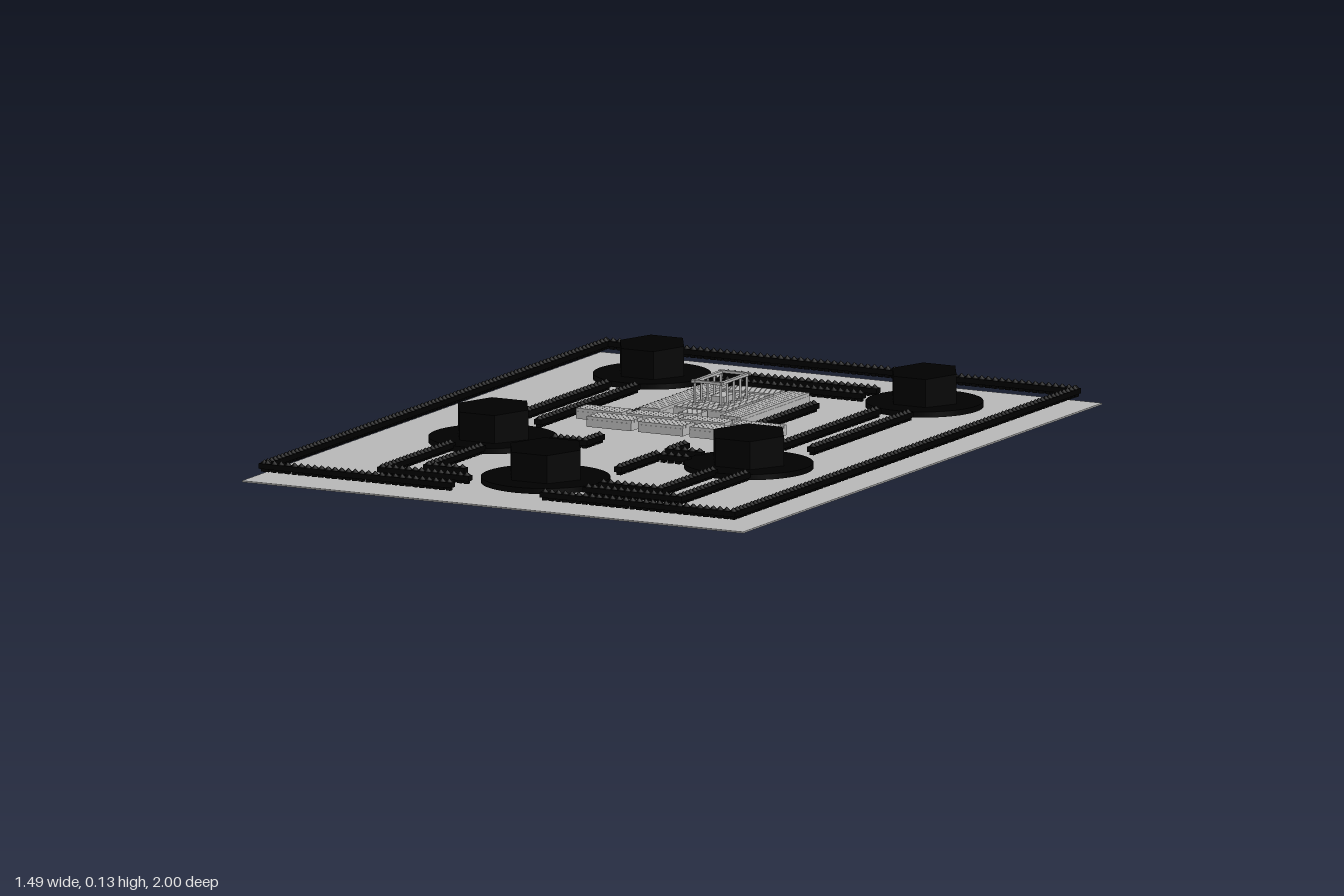
import * as THREE from 'three';
import { mergeGeometries } from 'three/addons/utils/BufferGeometryUtils.js';

export function createModel() {
  const model = new THREE.Group();
  const stone = new THREE.MeshStandardMaterial({ color: 0xb8b8b8 });
  stone.name = 'grey stone';
  const black = new THREE.MeshStandardMaterial({ color: 0x000000 });
  black.name = 'black';

  const add = (name, geometry, material) => {
    const mesh = new THREE.Mesh(geometry, material);
    mesh.name = name;
    model.add(mesh);
    return mesh;
  };
  // Box from its limits on each axis
  const span = (x0, x1, y0, y1, z0, z1) =>
    new THREE.BoxGeometry(x1 - x0, y1 - y0, z1 - z0)
      .translate((x0 + x1) / 2, (y0 + y1) / 2, (z0 + z1) / 2);

  // Ground plate
  add('groundPlate', span(-0.745, 0.745, 0, 0.004, -1, 1), stone);

  // Fence run: a rail carrying pointed pickets
  const fence = (name, x0, z0, x1, z1, base) => {
    const length = Math.hypot(x1 - x0, z1 - z0), w = 0.011;
    const parts = [span(x0 - w, x1 + w, base + 0.008, base + 0.022, z0 - w, z1 + w)];
    const count = Math.max(2, Math.round(length / 0.02));
    for (let i = 0; i <= count; i++) {
      const x = x0 + (x1 - x0) * i / count, z = z0 + (z1 - z0) * i / count;
      parts.push(new THREE.BoxGeometry(0.013, 0.022, 0.013).translate(x, base + 0.011, z));
      parts.push(new THREE.ConeGeometry(0.012, 0.011, 6).translate(x, base + 0.0265, z));
    }
    add(name, mergeGeometries(parts), black);
  };

  // Outer fence with a gateway at the front
  [
    [-0.705, -0.95, -0.705, 0.95], [0.69, -0.95, 0.69, 0.95],
    [-0.705, -0.955, 0.69, -0.955],
    [-0.695, 0.95, -0.155, 0.95], [0.13, 0.95, 0.67, 0.95],
  ].forEach(r => fence('outerFence', ...r, 0.024));

  // Inner fences lining the paths
  [
    [-0.23, -0.745, 0.205, -0.745], [-0.23, -0.665, 0.205, -0.665],
    [-0.08, -0.57, 0.045, -0.57],
    [-0.455, -0.485, -0.455, 0.045], [-0.37, -0.485, -0.37, 0.045],
    [0.345, -0.49, 0.345, 0.04], [0.44, -0.49, 0.44, 0.04],
    [-0.195, -0.475, -0.195, -0.145], [0.165, -0.48, 0.165, -0.145],
    [-0.13, 0.16, -0.13, 0.24], [-0.22, 0.24, -0.13, 0.24],
    [-0.22, 0.345, -0.13, 0.345], [-0.13, 0.345, -0.13, 0.54],
    [0.122, 0.16, 0.122, 0.24], [0.122, 0.24, 0.21, 0.24],
    [0.122, 0.316, 0.21, 0.316], [0.122, 0.316, 0.122, 0.52],
    [-0.425, 0.44, -0.425, 0.815], [-0.425, 0.815, -0.175, 0.815],
    [-0.335, 0.44, -0.335, 0.727], [-0.335, 0.727, -0.235, 0.727],
    [0.355, 0.44, 0.355, 0.728], [0.185, 0.728, 0.355, 0.728],
    [0.452, 0.44, 0.452, 0.803], [0.18, 0.803, 0.452, 0.803],
  ].forEach(r => fence('pathFence', ...r, 0.017));

  // Round terraces, each with a hexagonal hut
  [
    [-0.425, -0.685, 0.155], [0.385, -0.685, 0.155],
    [-0.385, 0.275, 0.17], [0.375, 0.275, 0.17], [-0.005, 0.695, 0.17],
  ].forEach(([x, z, r]) => {
    add('roundTerrace', new THREE.CylinderGeometry(r, r, 0.015, 48), black)
      .position.set(x, 0.024, z);
    const R = r * 0.615;
    // Hut with a roof falling gently to the front
    const hut = new THREE.CylinderGeometry(R, R, 0.084, 6).rotateY(Math.PI / 6).toNonIndexed();
    const p = hut.attributes.position;
    for (let i = 0; i < p.count; i++) {
      if (p.getY(i) > 0) p.setY(i, 0.042 - 0.005 * (p.getZ(i) / R + 0.866));
    }
    hut.computeVertexNormals();
    add('hexagonalHut', hut, black).position.set(x, 0.073, z);
  });

  // Planked decks and benches: boards split along x or z
  const planks = (name, x0, x1, z0, z1, count, alongX) => {
    const parts = [span(x0, x1, 0.03, 0.05, z0, z1)];
    for (let i = 0; i < count; i++) {
      const a = i / count, b = (i + 0.92) / count;
      parts.push(alongX
        ? span(x0, x1, 0.05, 0.058, z0 + (z1 - z0) * a, z0 + (z1 - z0) * b)
        : span(x0 + (x1 - x0) * a, x0 + (x1 - x0) * b, 0.05, 0.058, z0, z1));
    }
    add(name, mergeGeometries(parts), stone);
  };
  for (let i = 0; i < 4; i++) {
    const x = -0.31 + i * 0.153;
    planks('plankSlab', x, x + 0.135, -0.105, -0.045, 4, true);
    if (i < 3) planks('plankSlab', x + 0.077, x + 0.21, -0.025, 0.04, 4, true);
  }
  planks('sideDeck', -0.168, -0.108, -0.52, -0.137, 5, false);
  planks('sideDeck', 0.07, 0.132, -0.52, -0.137, 5, false);
  planks('backDeck', -0.095, 0.058, -0.52, -0.455, 5, true);

  // Central pavilion: tiled floor, step and open colonnade
  const tiles = [span(-0.095, 0.06, 0.03, 0.055, -0.435, -0.187)];
  for (let i = 0; i < 8; i++) for (let j = 0; j < 13; j++) {
    const x = -0.095 + i * 0.0194, z = -0.435 + j * 0.0191;
    tiles.push(span(x, x + 0.018, 0.055, 0.059, z, z + 0.0178));
  }
  add('pavilionFloor', mergeGeometries(tiles), stone);
  planks('pavilionStep', -0.046, 0.01, -0.18, -0.12, 5, true);
  const frame = [];
  for (const x of [-0.055, 0.022]) {
    for (let i = 0; i < 5; i++) {
      const z = -0.375 + i * 0.036;
      frame.push(new THREE.CylinderGeometry(0.0035, 0.0035, 0.06, 8).translate(x, 0.089, z));
      frame.push(new THREE.BoxGeometry(0.012, 0.006, 0.012).translate(x, 0.062, z));
    }
    frame.push(span(x - 0.005, x + 0.005, 0.118, 0.125, -0.387, -0.22));
  }
  for (const z of [-0.38, -0.228])
    frame.push(span(-0.063, 0.03, 0.119, 0.126, z - 0.005, z + 0.005));
  add('pavilionColonnade', mergeGeometries(frame), stone);
  add('pavilionPlinth', span(-0.036, 0.003, 0.059, 0.075, -0.35, -0.285), stone);

  return model;
}
